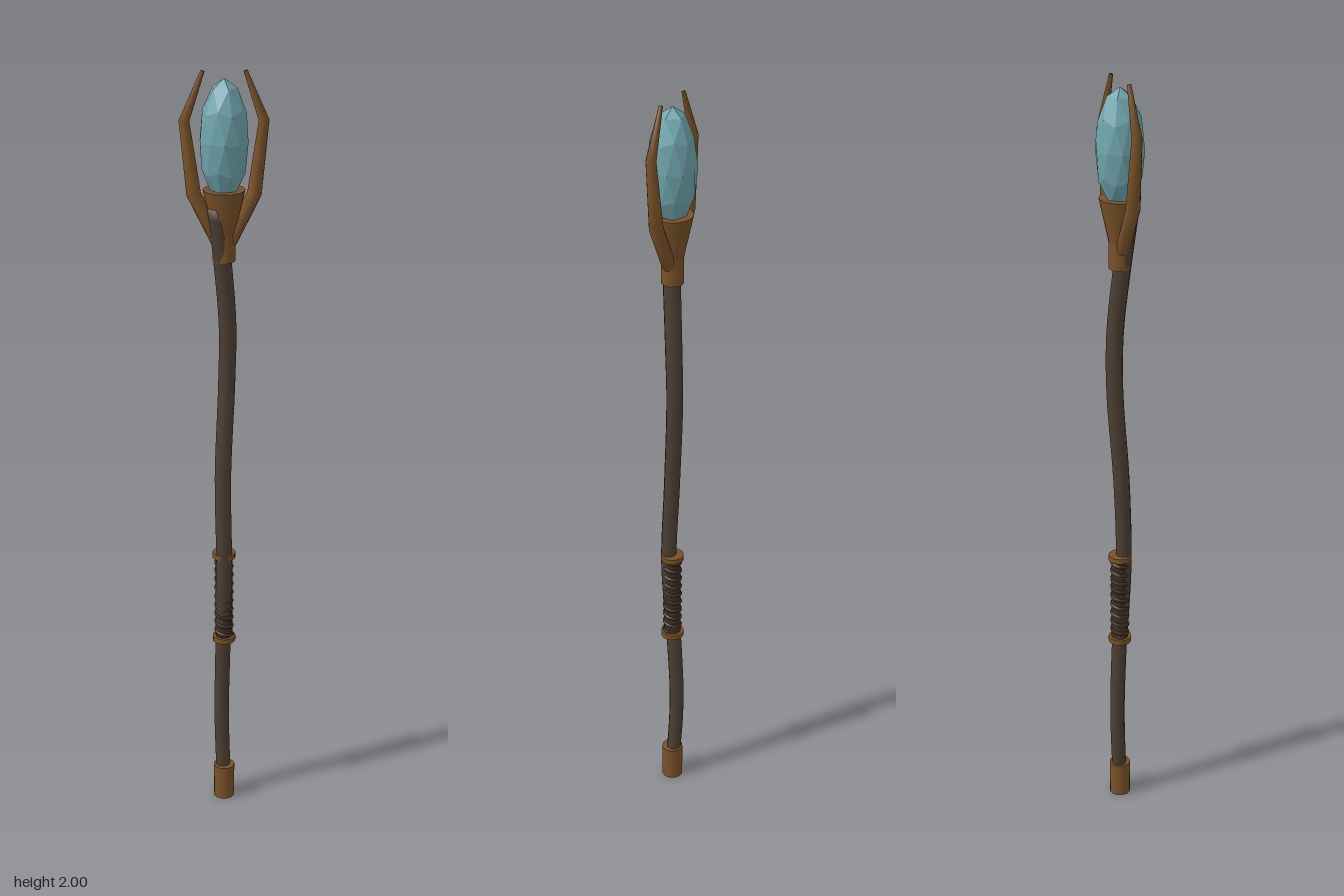
import * as THREE from 'three';

const mat = (name, color, extra = {}) => {
  const m = new THREE.MeshStandardMaterial({ color, ...extra });
  m.name = name;
  return m;
};

// Tapered round sweep through points [x, y, z, radius], closed at both ends
function sweep(points, sides) {
  const pos = [], idx = [];
  const centre = points.map(p => new THREE.Vector3(p[0], p[1], p[2]));
  const n = points.length;
  centre.forEach((c, i) => {
    const t = centre[Math.min(i + 1, n - 1)].clone().sub(centre[Math.max(i - 1, 0)]).normalize();
    const u = new THREE.Vector3(0, 0, 1).cross(t).normalize().negate();
    const v = u.clone().cross(t).normalize();
    for (let k = 0; k < sides; k++) {
      const a = (k / sides) * Math.PI * 2;
      const q = c.clone()
        .addScaledVector(u, Math.cos(a) * points[i][3])
        .addScaledVector(v, -Math.sin(a) * points[i][3]);
      pos.push(q.x, q.y, q.z);
    }
  });
  const quad = (a, b, c, d) => idx.push(a, b, d, b, c, d);
  for (let i = 0; i < n - 1; i++) {
    for (let k = 0; k < sides; k++) {
      const a = i * sides + k, b = i * sides + (k + 1) % sides;
      quad(a, b, b + sides, a + sides);
    }
  }
  // End caps
  const last = (n - 1) * sides;
  for (let k = 1; k < sides - 1; k++) {
    idx.push(0, k + 1, k, last, last + k, last + k + 1);
  }
  // Keep the faces outward whichever way the frame turned
  const P = i => new THREE.Vector3().fromArray(pos, i * 3);
  const face = P(idx[1]).sub(P(idx[0])).cross(P(idx[2]).sub(P(idx[0])));
  if (face.dot(P(idx[0]).sub(centre[0])) < 0) {
    for (let i = 0; i < idx.length; i += 3) [idx[i], idx[i + 1]] = [idx[i + 1], idx[i]];
  }
  const g = new THREE.BufferGeometry();
  g.setAttribute('position', new THREE.Float32BufferAttribute(pos, 3));
  g.setIndex(idx);
  g.computeVertexNormals();
  return g;
}

export function createModel() {
  const wood = mat('dark wood', 0x4d3f32);
  const bronze = mat('bronze', 0x7a5228);
  const leather = mat('leather', 0x3e2e22);
  const crystalBlue = mat('crystal blue', 0x6fa5ad, { flatShading: true });

  const group = new THREE.Group();
  const add = (name, geometry, material, x = 0, y = 0, z = 0) => {
    const mesh = new THREE.Mesh(geometry, material);
    mesh.name = name;
    mesh.position.set(x, y, z);
    group.add(mesh);
    return mesh;
  };
  const band = (name, y0, y1, r0, r1, material) =>
    add(name, new THREE.CylinderGeometry(r1, r0, y1 - y0, 16), material, 0, (y0 + y1) / 2, 0);

  // Gently crooked shaft
  const path = new THREE.CatmullRomCurve3([
    [0, 0.02, 0], [-0.006, 0.25, -0.01], [-0.003, 0.45, -0.004], [0, 0.7, 0.011],
    [-0.003, 0.95, 0.003], [0.007, 1.2, -0.011], [0.009, 1.36, -0.009],
    [-0.004, 1.53, 0.004], [-0.019, 1.67, 0.016],
  ].map(p => new THREE.Vector3(...p)));
  const shaft = path.getPoints(40).map((p, i) => [p.x, p.y, p.z, 0.019 + 0.004 * i / 40]);
  add('shaft', sweep(shaft, 10), wood);

  // Foot cap
  band('footCap', 0, 0.095, 0.028, 0.028, bronze);

  // Grip with a spiral leather wrap between two rings
  band('gripCore', 0.485, 0.73, 0.022, 0.022, leather);
  const spiral = Array.from({ length: 109 }, (_, i) => {
    const a = (i / 12) * Math.PI * 2;
    return new THREE.Vector3(0.02 * Math.cos(a), 0.495 + 0.225 * i / 108, 0.02 * Math.sin(a));
  });
  add('gripWrap', new THREE.TubeGeometry(new THREE.CatmullRomCurve3(spiral), 144, 0.006, 6), leather);
  for (const y of [0.478, 0.722]) band('gripRing', y, y + 0.014, 0.03, 0.03, bronze);

  // Collar and flared socket
  band('collar', 1.53, 1.605, 0.028, 0.028, bronze);
  band('socket', 1.57, 1.71, 0.022, 0.052, bronze);

  // Pair of bent claws
  for (const s of [-1, 1]) {
    const claw = [
      [0.015, 1.58, 0, 0.018], [0.074, 1.7, 0, 0.018],
      [0.096, 1.88, 0, 0.013], [0.051, 2.0, 0, 0.005],
    ].map(([x, y, z, r]) => [s * x, y, z, r]);
    add(s > 0 ? 'leftClaw' : 'rightClaw', sweep(claw, 10), bronze);
  }

  // Faceted crystal standing on one vertex
  const gem = new THREE.IcosahedronGeometry(1, 1);
  gem.rotateZ(-Math.atan(2 / (1 + Math.sqrt(5))));
  gem.scale(0.061, 0.152, 0.061);
  gem.computeVertexNormals();
  add('crystal', gem, crystalBlue, 0, 1.83, 0);

  return group;
}
